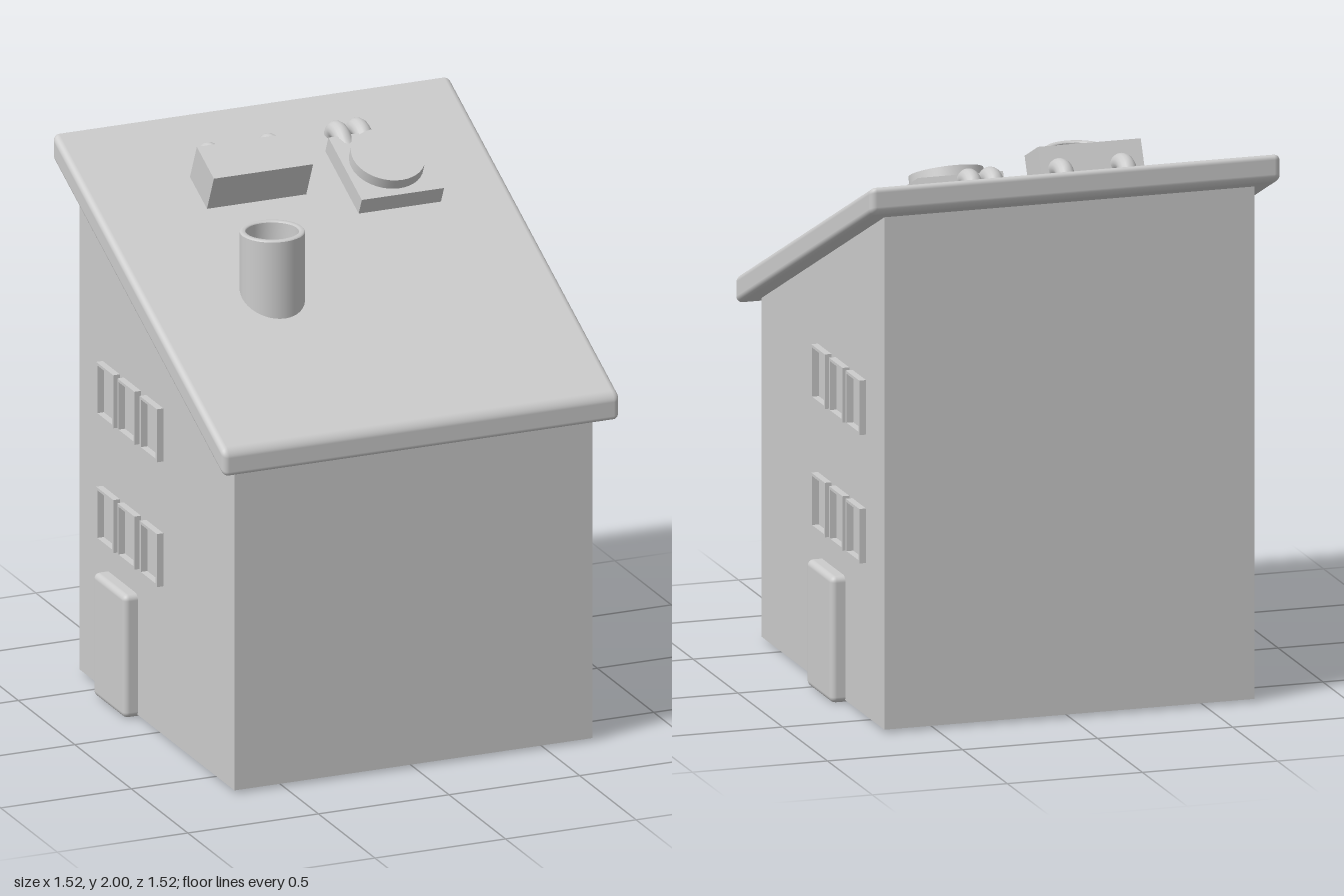
import * as THREE from 'three';
import { RoundedBoxGeometry } from 'three/addons/geometries/RoundedBoxGeometry.js';

const SLOPE = 0.46; // roof rise per unit towards the back
const ROOF_Y = 1.605; // roof middle height at z = 0
const TILT = Math.atan(SLOPE);
const WALL = 0.685;

export function createModel() {
  const model = new THREE.Group();
  const grey = new THREE.MeshStandardMaterial({ color: 0xcccccc });
  const open = new THREE.MeshStandardMaterial({ color: 0xcccccc, side: THREE.DoubleSide });
  const flatOpen = new THREE.MeshStandardMaterial({ color: 0xcccccc, side: THREE.DoubleSide, flatShading: true });

  function add(name, geometry, material = grey, parent = model) {
    const mesh = new THREE.Mesh(geometry, material);
    mesh.name = name;
    parent.add(mesh);
    return mesh;
  }

  // Four walls, open below, with tops cut to the roof slope
  const walls = new THREE.CylinderGeometry(WALL * Math.SQRT2, WALL * Math.SQRT2, 1, 4, 1, true);
  walls.rotateY(Math.PI / 4);
  const p = walls.attributes.position;
  for (let i = 0; i < p.count; i++) {
    p.setY(i, p.getY(i) > 0 ? ROOF_Y - SLOPE * p.getZ(i) : 0.01);
  }
  add('walls', walls, flatOpen);

  // Roof slab: a rounded box sheared so its ends stay vertical
  const roof = new RoundedBoxGeometry(1.52, 0.1, 1.52, 3, 0.024);
  roof.applyMatrix4(new THREE.Matrix4().set(
    1, 0, 0, 0,
    0, 1, -SLOPE, ROOF_Y,
    0, 0, 1, 0,
    0, 0, 0, 1));
  add('roof', roof);

  // Window frame outline, extruded out of the wall
  const rect = (path, w, h) => path.moveTo(-w, -h).lineTo(w, -h).lineTo(w, h).lineTo(-w, h).closePath();
  const outline = rect(new THREE.Shape(), 0.076, 0.099);
  outline.holes.push(rect(new THREE.Path(), 0.066, 0.089));
  const frame = new THREE.ExtrudeGeometry(outline, { depth: 0.03, bevelEnabled: false });
  frame.rotateY(Math.PI / 2);

  // Windows and a door on both side walls
  for (const side of [1, -1]) {
    for (const y of [0.664, 1.13]) {
      for (const z of [-0.02, -0.218, -0.405]) {
        const win = add('windowFrame', frame);
        win.position.set(side > 0 ? 0.68 : -0.71, y, z);
      }
    }
    const door = add('door', new RoundedBoxGeometry(0.08, 0.46, 0.28, 3, 0.022));
    door.position.set(side * 0.698, 0.23, side > 0 ? -0.11 : -0.31);
  }

  // Chimney pipe with a rounded hollow
  const chimney = new THREE.Group();
  chimney.name = 'chimney';
  chimney.position.set(-0.285, 0, 0.095);
  model.add(chimney);
  const lathe = (pts) => new THREE.LatheGeometry(pts.map(([x, y]) => new THREE.Vector2(x, y)), 40);
  add('chimneyOuter', lathe([[0.115, 1.5], [0.115, 1.845]]), open, chimney);
  add('chimneyRim', lathe([[0.115, 1.845], [0.111, 1.85], [0.097, 1.85], [0.094, 1.845]]), open, chimney);
  add('chimneyHollow', lathe([[0.094, 1.845], [0.094, 1.68], [0.08, 1.63], [0.05, 1.6], [0, 1.59]]), open, chimney);

  // Roof unit: a box tilted with the roof, placed by its top front edge
  function roofUnit(name, x, y, z, w, h, d) {
    const group = new THREE.Group();
    group.name = name;
    group.position.set(x, y, z);
    group.rotation.x = TILT;
    model.add(group);
    add(name + 'Box', new THREE.BoxGeometry(w, h, d), grey, group).position.set(0, -h / 2, -d / 2);
    return group;
  }
  roofUnit('ventUnit', -0.165, 1.935, -0.26, 0.38, 0.155, 0.166);
  const fanUnit = roofUnit('fanUnit', 0.332, 1.808, -0.175, 0.315, 0.08, 0.325);
  add('fanCover', new THREE.CylinderGeometry(0.133, 0.133, 0.04, 40), grey, fanUnit)
    .position.set(0, 0.02, -0.163);

  // Bent pipes from the back of each unit down into the roof
  function pipe(x, points) {
    const curve = new THREE.CatmullRomCurve3(points.map(([z, y]) => new THREE.Vector3(x, y, z)));
    add('pipe', new THREE.TubeGeometry(curve, 20, 0.033, 16), open);
  }
  for (const x of [-0.265, -0.035]) {
    pipe(x, [[-0.42, 1.915], [-0.47, 1.94], [-0.52, 1.94], [-0.548, 1.91], [-0.55, 1.86]]);
  }
  for (const x of [0.235, 0.315]) {
    pipe(x, [[-0.45, 1.9], [-0.5, 1.938], [-0.545, 1.94], [-0.57, 1.915], [-0.572, 1.87]]);
  }
  return model;
}
